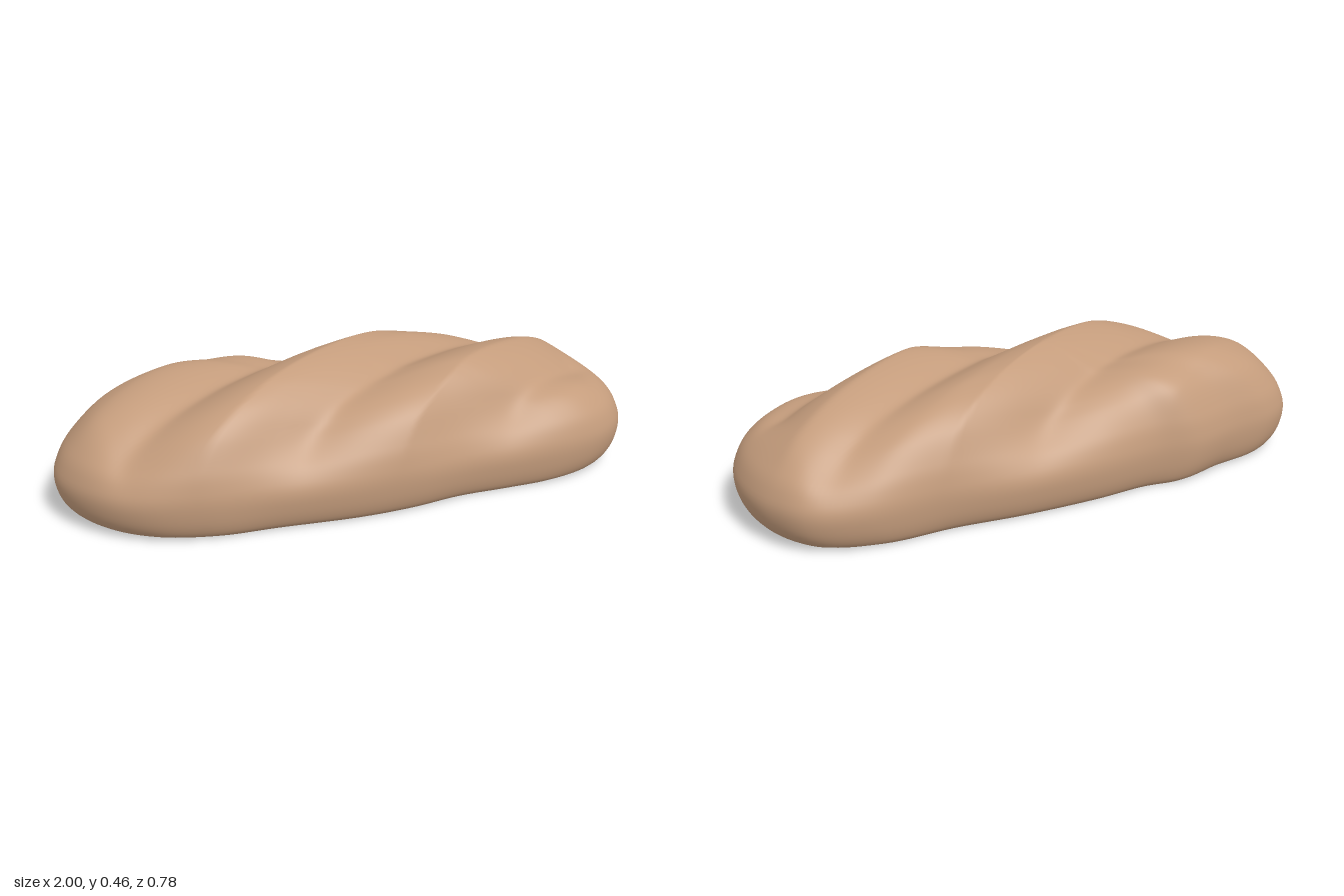
import * as THREE from 'three';
import { mergeVertices } from 'three/addons/utils/BufferGeometryUtils.js';

// Footprint of the loaf at its widest, as x, z pairs running counter-clockwise seen from above
const OUTLINE = [
  [-0.1, 0.388], [0.1, 0.385], [0.3, 0.362], [0.5, 0.365], [0.67, 0.362], [0.8, 0.33], [0.9, 0.265],
  [0.97, 0.16], [1, 0.03], [0.99, -0.11], [0.95, -0.22], [0.87, -0.315], [0.7, -0.37], [0.45, -0.37],
  [0.2, -0.39], [-0.1, -0.392], [-0.3, -0.378], [-0.45, -0.39], [-0.62, -0.345], [-0.8, -0.31],
  [-0.91, -0.24], [-0.98, -0.12], [-1, 0], [-0.97, 0.1], [-0.89, 0.21], [-0.77, 0.295], [-0.6, 0.345], [-0.4, 0.36],
];
// Crust profile from crown to base, as footprint scale and height
const PROFILE = [
  [0, 0.465], [0.16, 0.462], [0.33, 0.452], [0.5, 0.432], [0.7, 0.389], [0.85, 0.325], [0.95, 0.235],
  [0.99, 0.17], [1, 0.12], [0.985, 0.06], [0.95, 0.018], [0.9, 0],
];
// Where the diagonal twists cross the long axis
const GROOVES = [-0.46, 0.27, 0.98];
const SLANT = 0.66;
const SEGMENTS = 240, RINGS = 90;

// Depth of the twist valleys: a long slope on each side of a soft crease
function grooveDepth(x, z, y) {
  const u = x + z / SLANT;
  let depth = 0;
  for (const centre of GROOVES) {
    const d = u - centre;
    const reach = Math.max(0, 1 - (Math.hypot(d, 0.05) - 0.05) / (d < 0 ? 0.4 : 0.38));
    depth = Math.max(depth, reach ** 1.5);
  }
  const endFade = 1 - THREE.MathUtils.smoothstep(Math.abs(x), 0.8, 1);
  return 0.17 * depth * endFade * THREE.MathUtils.smoothstep(y, 0.1, 0.36);
}

export function createModel() {
  const model = new THREE.Group();
  model.name = 'breadLoaf';
  const crust = new THREE.MeshStandardMaterial({ color: 0xc49c7c });
  crust.name = 'baked crust';

  const outline = new THREE.CatmullRomCurve3(
    OUTLINE.map(([x, z]) => new THREE.Vector3(x, 0, z)), true).getSpacedPoints(SEGMENTS);
  const profile = new THREE.SplineCurve(
    PROFILE.map(([s, y]) => new THREE.Vector2(s, y))).getSpacedPoints(RINGS);

  // Twisted upper crust: scaled footprints stacked along the profile
  const positions = [], indices = [];
  profile.forEach(({ x: scale, y }, i) => {
    for (let j = 0; j <= SEGMENTS; j++) {
      const p = outline[j % SEGMENTS];
      const x = p.x * scale, z = p.z * scale;
      const shrink = 1 - grooveDepth(x, z, y);
      positions.push(x, Math.max(0, y * shrink), z * shrink);
      if (i < RINGS && j < SEGMENTS) {
        const a = i * (SEGMENTS + 1) + j, c = a + SEGMENTS + 1;
        if (i > 0) indices.push(a, c, a + 1);
        indices.push(a + 1, c, c + 1);
      }
    }
  });
  let geometry = new THREE.BufferGeometry();
  geometry.setAttribute('position', new THREE.Float32BufferAttribute(positions, 3));
  geometry.setIndex(indices);
  geometry = mergeVertices(geometry, 1e-5);
  geometry.computeVertexNormals();
  const top = new THREE.Mesh(geometry, crust);
  top.name = 'twistedCrust';
  model.add(top);

  // Flat underside
  const baseScale = profile[RINGS].x;
  const base = new THREE.Shape(outline.slice(0, SEGMENTS).map(
    (p) => new THREE.Vector2(p.x * baseScale, p.z * baseScale)));
  const bottom = new THREE.Mesh(new THREE.ShapeGeometry(base).rotateX(Math.PI / 2), crust);
  bottom.name = 'flatBase';
  model.add(bottom);

  return model;
}
